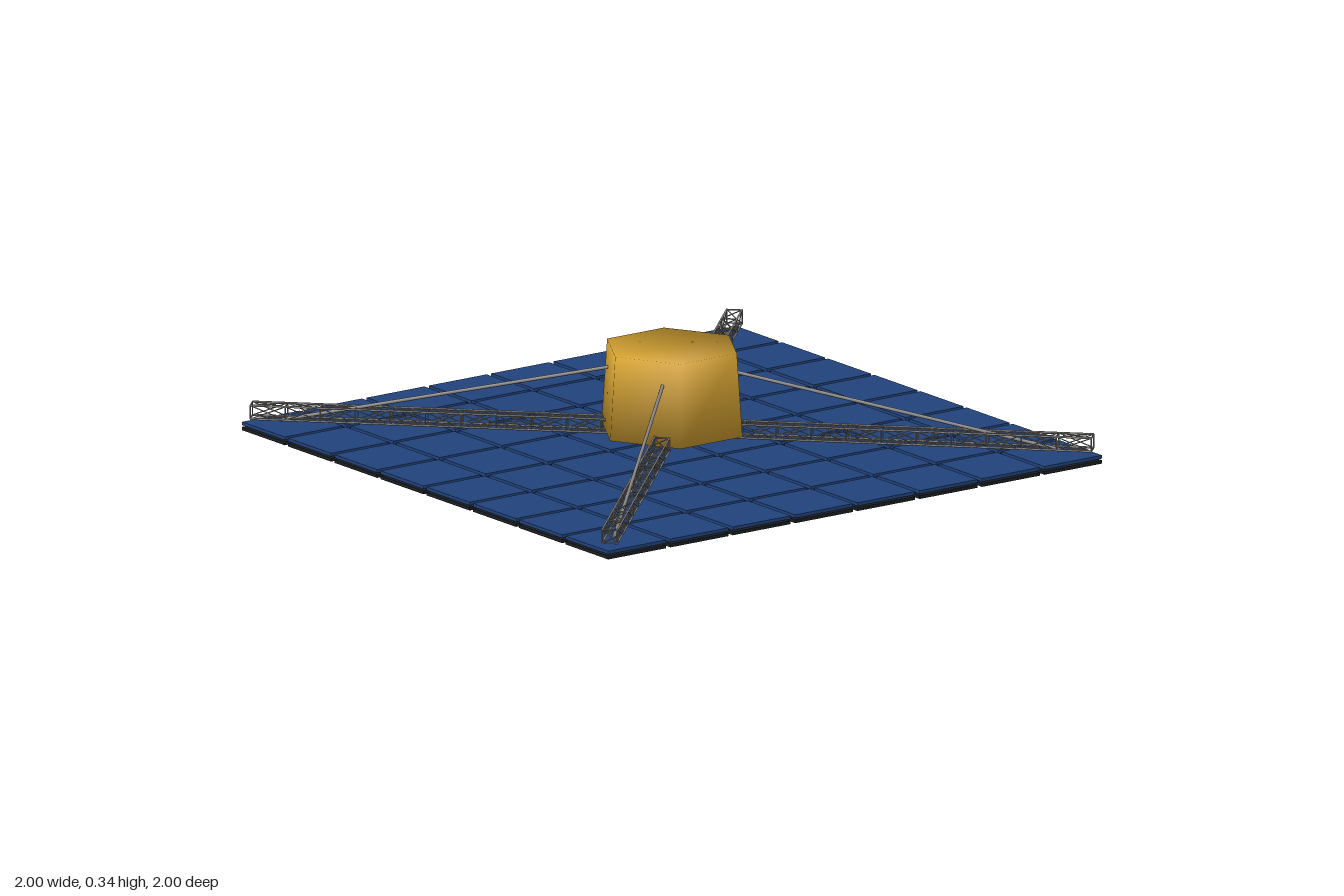
import * as THREE from 'three';
import { mergeGeometries } from 'three/addons/utils/BufferGeometryUtils.js';

const mat = (name, color) => {
  const m = new THREE.MeshStandardMaterial({ color });
  m.name = name;
  return m;
};
const gold = mat('gold foil', 0xd6a332);
const blue = mat('solar blue', 0x21437c);
const black = mat('panel backing', 0x1a1e23);
const grey = mat('strut grey', 0x8a8886);

function add(group, name, geometry, material) {
  const mesh = new THREE.Mesh(geometry, material);
  mesh.name = name;
  group.add(mesh);
  return mesh;
}

// Thin round bar between two points
function bar(a, b, radius, sides = 5) {
  const d = b.clone().sub(a);
  const g = new THREE.CylinderGeometry(radius, radius, d.length(), sides);
  g.applyQuaternion(new THREE.Quaternion().setFromUnitVectors(
    new THREE.Vector3(0, 1, 0), d.clone().normalize()));
  const c = a.clone().add(b).multiplyScalar(0.5);
  return g.translate(c.x, c.y, c.z);
}

// Square lattice truss along x, with crossed braces on all four faces
function trussGeometry(halfLength, halfWidth, y0, y1, bays) {
  const corners = [[y0, -halfWidth], [y1, -halfWidth], [y1, halfWidth], [y0, halfWidth]];
  const at = (i, k) => new THREE.Vector3(
    -halfLength + (2 * halfLength * i) / bays, corners[k % 4][0], corners[k % 4][1]);
  const parts = [];
  for (let k = 0; k < 4; k++) {
    parts.push(bar(at(0, k), at(bays, k), 0.0035, 6));
    for (let i = 0; i <= bays; i++) {
      parts.push(bar(at(i, k), at(i, k + 1), 0.0025));
      if (i === bays) continue;
      parts.push(bar(at(i, k), at(i + 1, k + 1), 0.002));
      parts.push(bar(at(i, k + 1), at(i + 1, k), 0.002));
    }
  }
  return mergeGeometries(parts);
}

// Tapered six-sided body with soft shading that rolls over its rims
function hubGeometry(r0, y0, r1, y1) {
  const position = [], normal = [], index = [];
  for (const [r, y, ny] of [[r0, y0, -0.6], [r1, y1, 0.6]]) {
    for (let i = 0; i < 6; i++) {
      const a = (i * Math.PI) / 3, c = Math.cos(a), s = Math.sin(a);
      position.push(r * c, y, r * s);
      normal.push(0.8 * c, ny, 0.8 * s);
    }
  }
  for (let i = 0; i < 6; i++) {
    const j = (i + 1) % 6;
    index.push(i, i + 6, j, j, i + 6, j + 6);
  }
  for (const [a, b, c] of [[0, 1, 2], [3, 4, 5], [0, 2, 3], [0, 3, 5]]) {
    index.push(a, b, c, a + 6, c + 6, b + 6);
  }
  const g = new THREE.BufferGeometry();
  g.setAttribute('position', new THREE.Float32BufferAttribute(position, 3));
  g.setAttribute('normal', new THREE.Float32BufferAttribute(normal, 3));
  g.setIndex(index);
  return g;
}

export function createModel() {
  const model = new THREE.Group();
  model.name = 'solarArraySatellite';

  // Eight by eight array: blue cells above separate dark backing plates
  const array = new THREE.Group();
  array.name = 'solarArray';
  model.add(array);
  const size = 0.234, pitch = (2 - size) / 7;
  const cell = new THREE.BoxGeometry(size, 0.011, size);
  const back = new THREE.BoxGeometry(size, 0.011, size);
  for (let i = 0; i < 8; i++) {
    for (let j = 0; j < 8; j++) {
      const x = (i - 3.5) * pitch, z = (j - 3.5) * pitch;
      add(array, 'solarCell', cell, blue).position.set(x, 0.0225, z);
      add(array, 'backingPlate', back, black).position.set(x, 0.0055, z);
    }
  }

  // Two diagonal trusses crossing under the hub
  const truss = trussGeometry(1.383, 0.025, 0.046, 0.091, 24);
  for (const s of [1, -1]) {
    add(model, 'diagonalTruss', truss, grey).rotation.y = (s * Math.PI) / 4;
  }

  // Foil-wrapped central hub
  add(model, 'hub', hubGeometry(0.25, 0.06, 0.23, 0.34), gold);

  // Four sloping stays from the hub to the trusses
  for (const sx of [1, -1]) {
    for (const sz of [1, -1]) {
      add(model, 'stay', bar(
        new THREE.Vector3(0.145 * sx, 0.262, 0.145 * sz),
        new THREE.Vector3(0.91 * sx, 0.04, 0.91 * sz), 0.006, 8), grey);
    }
  }
  return model;
}
